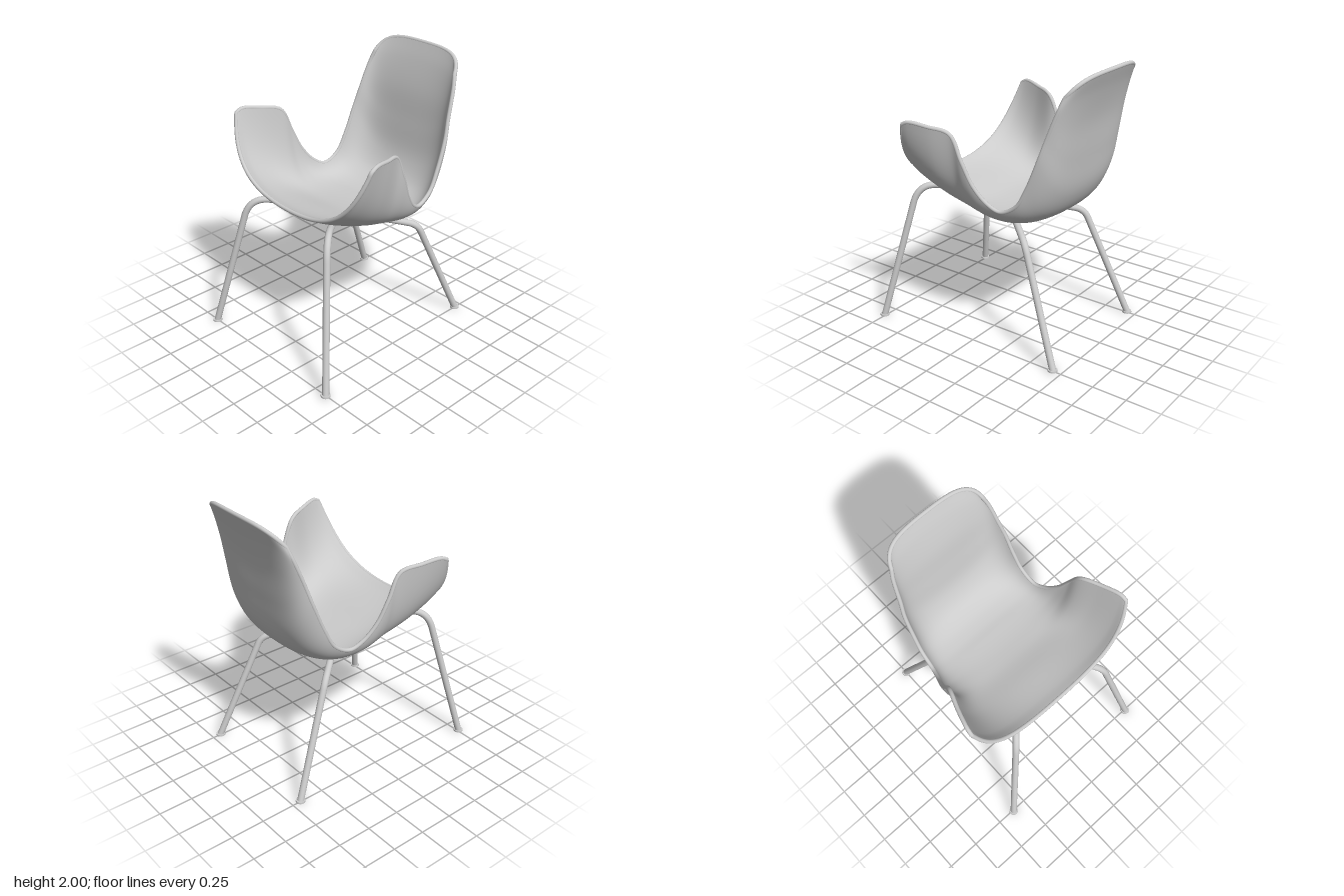
import * as THREE from 'three';

const V = (x, y, z) => new THREE.Vector3(x, y, z);

// Shell half-sections from front lip to top of the back:
// centre [y, z], flat half-width, side handle [x, y, z], rim [x, y, z]
const STATIONS = [
  { c: [1.085, 0.522], a: 0.42, h: [0.60, 1.25, 0.525], r: [0.68, 1.57, 0.42] },
  { c: [1.05, 0.44], a: 0.42, h: [0.60, 1.16, 0.45], r: [0.675, 1.59, 0.375] },
  { c: [0.995, 0.25], a: 0.42, h: [0.565, 1.0, 0.25], r: [0.635, 1.572, 0.24] },
  { c: [0.945, 0.09], a: 0.42, h: [0.535, 0.94, 0.10], r: [0.583, 1.535, 0.10] },
  { c: [0.925, -0.02], a: 0.41, h: [0.53, 0.94, 0.01], r: [0.57, 1.36, 0.015] },
  { c: [0.917, -0.10], a: 0.38, h: [0.51, 0.93, -0.07], r: [0.545, 1.2, -0.055] },
  { c: [0.914, -0.19], a: 0.36, h: [0.47, 0.925, -0.17], r: [0.512, 1.085, -0.145] },
  { c: [0.914, -0.28], a: 0.32, h: [0.43, 0.93, -0.28], r: [0.487, 1.038, -0.24] },
  { c: [0.937, -0.39], a: 0.30, h: [0.42, 0.96, -0.39], r: [0.475, 1.10, -0.36] },
  { c: [1.0, -0.497], a: 0.28, h: [0.42, 1.04, -0.49], r: [0.466, 1.24, -0.44] },
  { c: [1.15, -0.583], a: 0.26, h: [0.40, 1.2, -0.585], r: [0.455, 1.44, -0.52] },
  { c: [1.4, -0.63], a: 0.25, h: [0.38, 1.43, -0.635], r: [0.435, 1.58, -0.565] },
  { c: [1.65, -0.667], a: 0.25, h: [0.37, 1.66, -0.667], r: [0.42, 1.70, -0.607] },
  { c: [1.85, -0.722], a: 0.24, h: [0.37, 1.85, -0.705], r: [0.405, 1.79, -0.64] },
  { c: [1.985, -0.772], a: 0.22, h: [0.35, 1.985, -0.76], r: [0.385, 1.86, -0.665] },
];
const spline = (pick) => new THREE.CatmullRomCurve3(STATIONS.map(pick));
const centreLine = spline((s) => V(0, ...s.c));
const flatLine = spline((s) => V(s.a, ...s.c));
const handleLine = spline((s) => V(...s.h));
const rimLine = spline((s) => V(...s.r));

// Point on the shell: u in -1..1 across, v in 0..1 from front to top
function shellPoint(u, v) {
  const section = new THREE.CubicBezierCurve3(
    centreLine.getPoint(v), flatLine.getPoint(v), handleLine.getPoint(v), rimLine.getPoint(v));
  const p = section.getPoint(Math.abs(u));
  if (u < 0) p.x = -p.x;
  return p;
}

function shellSheet(offset) {
  const g = new THREE.PlaneGeometry(1, 1, 56, 84);
  const pos = g.attributes.position, uv = g.attributes.uv;
  for (let i = 0; i < pos.count; i++) {
    const p = shellPoint(uv.getX(i) * 2 - 1, uv.getY(i));
    pos.setXYZ(i, p.x, p.y, p.z);
  }
  g.computeVertexNormals();
  const n = g.attributes.normal;
  for (let i = 0; i < pos.count; i++) {
    pos.setXYZ(i, pos.getX(i) + n.getX(i) * offset,
      pos.getY(i) + n.getY(i) * offset, pos.getZ(i) + n.getZ(i) * offset);
  }
  // The underside faces the other way
  if (offset < 0) g.index.array.reverse();
  g.computeVertexNormals();
  return g;
}

// Rounded bead following the whole edge of the shell
function rimGeometry(radius) {
  const pts = [];
  const N = 40;
  for (let i = 0; i < N; i++) pts.push(shellPoint(-1 + (2 * i) / N, 0));
  for (let i = 0; i < 2 * N; i++) pts.push(shellPoint(1, i / (2 * N)));
  for (let i = 0; i < N; i++) pts.push(shellPoint(1 - (2 * i) / N, 1));
  for (let i = 0; i < 2 * N; i++) pts.push(shellPoint(-1, 1 - i / (2 * N)));
  return new THREE.TubeGeometry(new THREE.CatmullRomCurve3(pts, true), 400, radius, 12, true);
}

// Straight path through points with rounded corners
function bentPath(points, fillets) {
  const path = new THREE.CurvePath();
  let from = points[0];
  for (let i = 1; i < points.length - 1; i++) {
    const p = points[i], d = fillets[i - 1];
    const a = p.clone().add(points[i - 1].clone().sub(p).setLength(d));
    const b = p.clone().add(points[i + 1].clone().sub(p).setLength(d));
    path.add(new THREE.LineCurve3(from, a));
    path.add(new THREE.QuadraticBezierCurve3(a, p, b));
    from = b;
  }
  path.add(new THREE.LineCurve3(from, points[points.length - 1]));
  return path;
}

export function createModel() {
  const group = new THREE.Group();
  const mat = new THREE.MeshStandardMaterial({ color: 0xcccccc });
  const add = (name, geometry, parent = group) => {
    const m = new THREE.Mesh(geometry, mat);
    m.name = name;
    parent.add(m);
    return m;
  };

  // Seat shell
  const shell = new THREE.Group();
  shell.name = 'seatShell';
  group.add(shell);
  add('shellInside', shellSheet(0.013), shell);
  add('shellOutside', shellSheet(-0.013), shell);
  add('shellRim', rimGeometry(0.0145), shell);

  // Two crossing rods, each a front leg, a bar under the seat and the opposite rear leg
  const base = new THREE.Group();
  base.name = 'legBase';
  group.add(base);
  for (const s of [1, -1]) {
    const side = s > 0 ? 'left' : 'right';
    const path = bentPath([
      V(s * 0.61, 0.006, 0.755), V(s * 0.405, 1.055, 0.545),
      V(-s * 0.375, 0.8, -0.36), V(-s * 0.5, 0.006, -0.685),
    ], [0.17, 0.07]);
    add(side + 'FrontLegRod', new THREE.TubeGeometry(path, 160, 0.024, 16), base);

    // Foot glides
    for (const [end, x, z] of [['Front', 0.61, 0.755], ['Rear', 0.5, -0.685]]) {
      const foot = add(side + end + 'Foot', new THREE.CylinderGeometry(0.033, 0.034, 0.012, 24), base);
      foot.position.set(s * x, 0.006, z);
    }
  }
  return group;
}
